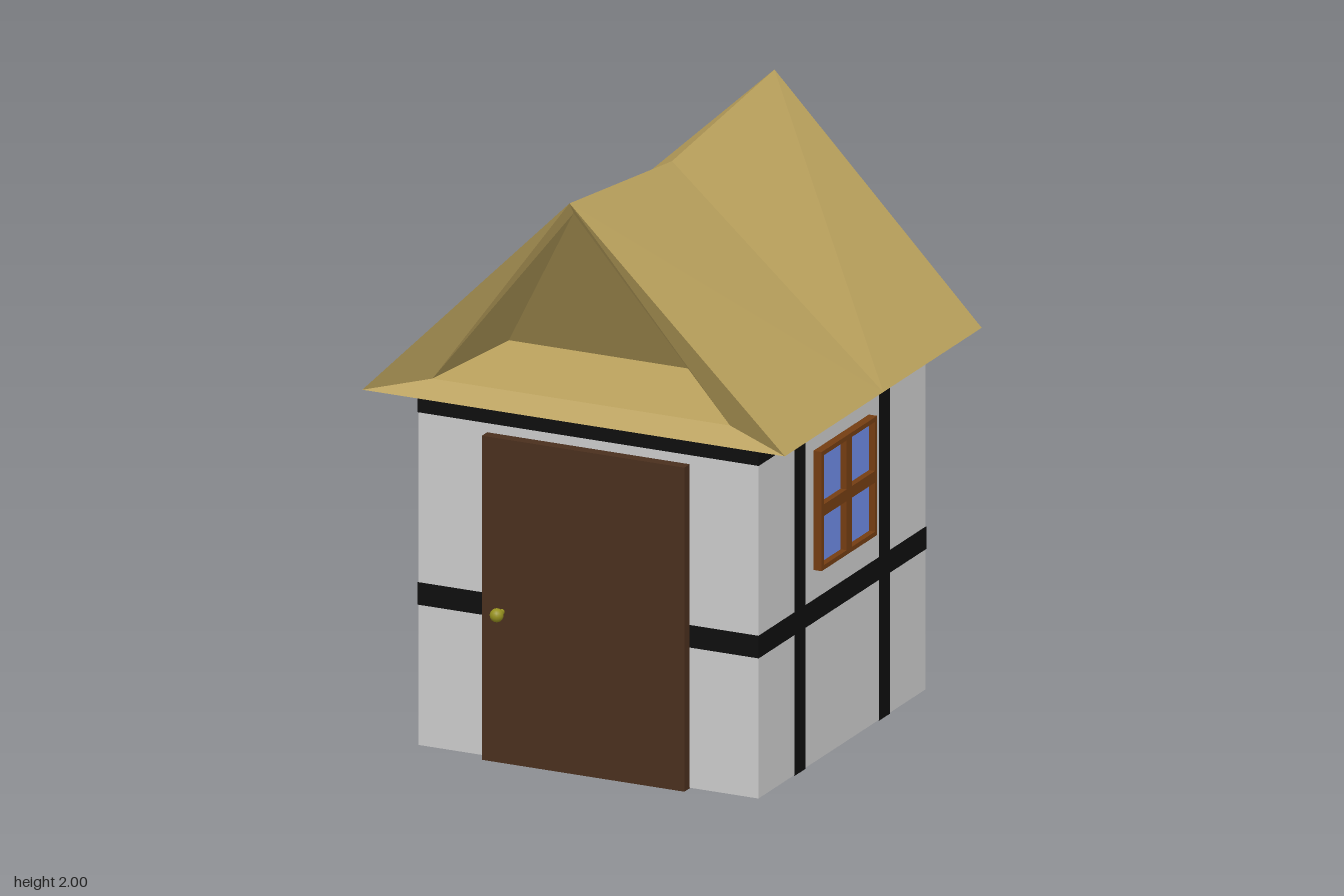
import * as THREE from 'three';

const mat = (color) => new THREE.MeshStandardMaterial({ color });
const wallMat = mat(0xcccccc), timberMat = mat(0x0e0e0e), doorMat = mat(0x4a2f1d);
const frameMat = mat(0x743d12), glassMat = mat(0x6f8be6), knobMat = mat(0x95901f);
const roofMat = new THREE.MeshStandardMaterial({ color: 0xb9a05c, flatShading: true });

function add(parent, name, geometry, material, x = 0, y = 0, z = 0) {
  const mesh = new THREE.Mesh(geometry, material);
  mesh.name = name;
  mesh.position.set(x, y, z);
  parent.add(mesh);
  return mesh;
}

// Box given by its minimum and maximum corners
function block(parent, name, material, [x0, y0, z0], [x1, y1, z1]) {
  return add(parent, name, new THREE.BoxGeometry(x1 - x0, y1 - y0, z1 - z0), material,
    (x0 + x1) / 2, (y0 + y1) / 2, (z0 + z1) / 2);
}

// One quarter of the roof, mirrored into the other three
function roofGeometry() {
  const P = {
    ridge: [0, 2, 0.757], dip: [0, 1.915, 0],
    eave: [0.767, 1.235, 0.727], eaveMid: [0.767, 1.235, 0],
    apex: [0, 1.957, 0.727], rim: [0.54, 1.29, 0.67], deep: [0.43, 1.335, 0.33],
    eave0: [0, 1.235, 0.727], rim0: [0, 1.29, 0.67], deep0: [0, 1.335, 0.33],
    centre: [0, 1.235, 0],
  };
  const faces = [
    ['ridge', 'eave', 'eaveMid', 'dip'],      // thatch slope
    ['ridge', 'apex', 'rim', 'eave'],         // gable border
    ['eave0', 'eave', 'rim', 'rim0'],         // gable sill
    ['apex', 'deep', 'rim'],                  // recess side
    ['apex', 'deep0', 'deep'],                // recess back
    ['rim0', 'rim', 'deep', 'deep0'],         // recess floor
    ['centre', 'eaveMid', 'eave', 'eave0'],   // underside
  ];
  const positions = [];
  for (const sx of [1, -1]) for (const sz of [1, -1]) {
    for (const f of faces) {
      for (let i = 1; i < f.length - 1; i++) {
        const tri = [f[0], f[i], f[i + 1]];
        if (sx * sz < 0) tri.reverse();
        for (const k of tri) positions.push(P[k][0] * sx, P[k][1], P[k][2] * sz);
      }
    }
  }
  const g = new THREE.BufferGeometry();
  g.setAttribute('position', new THREE.Float32BufferAttribute(positions, 3));
  g.computeVertexNormals();
  return g;
}

// Four-pane window lying in the xy plane and facing +z
function makeWindow() {
  const w = new THREE.Group();
  w.name = 'window';
  const h = 0.205, t = 0.016, m = 0.02;
  const shape = new THREE.Shape([[-h, -h], [h, -h], [h, h], [-h, h]].map((p) => new THREE.Vector2(...p)));
  for (const sx of [1, -1]) for (const sy of [1, -1]) {
    const a = m, b = h - t;
    shape.holes.push(new THREE.Path([[a, a], [a, b], [b, b], [b, a]]
      .map(([x, y]) => new THREE.Vector2(x * sx, y * sy))));
  }
  add(w, 'windowFrame', new THREE.ExtrudeGeometry(shape, { depth: 0.03, bevelEnabled: false }), frameMat);
  block(w, 'windowGlass', glassMat, [-h + 0.01, -h + 0.01, 0], [h - 0.01, h - 0.01, 0.008]);
  return w;
}

export function createModel() {
  const house = new THREE.Group();
  house.name = 'cottage';
  const W = 0.617, S = W + 0.002;

  // Walls with flush timbers
  block(house, 'walls', wallMat, [-W, 0.002, -W], [W, 1.236, W]);
  block(house, 'middleRail', timberMat, [-S, 0.485, -S], [S, 0.562, S]);
  block(house, 'topRail', timberMat, [-S, 1.147, -S], [S, 1.203, S]);
  for (const z of [-0.312, 0.312]) {
    block(house, 'timberPost', timberMat, [-S, 0, z - 0.04], [S, 1.15, z + 0.04]);
  }

  // Doors front and back, both knobs on the same side of the house
  for (const s of [1, -1]) {
    const door = new THREE.Group();
    door.name = s > 0 ? 'frontDoor' : 'backDoor';
    add(door, 'doorPanel', new THREE.BoxGeometry(0.735, 1.115, 0.04), doorMat, 0, 0.5575, s * 0.636);
    add(door, 'knobStem', new THREE.CylinderGeometry(0.01, 0.01, 0.05, 12), knobMat, -0.295, 0.52, s * 0.672)
      .rotation.x = Math.PI / 2;
    add(door, 'knob', new THREE.SphereGeometry(0.023, 16, 12), knobMat, -0.295, 0.52, s * 0.695);
    house.add(door);
  }

  // Windows on both sides
  for (const s of [1, -1]) {
    const win = makeWindow();
    win.position.set(s * W, 0.87, 0.006);
    win.rotation.y = s * Math.PI / 2;
    house.add(win);
  }

  add(house, 'roof', roofGeometry(), roofMat);
  return house;
}
